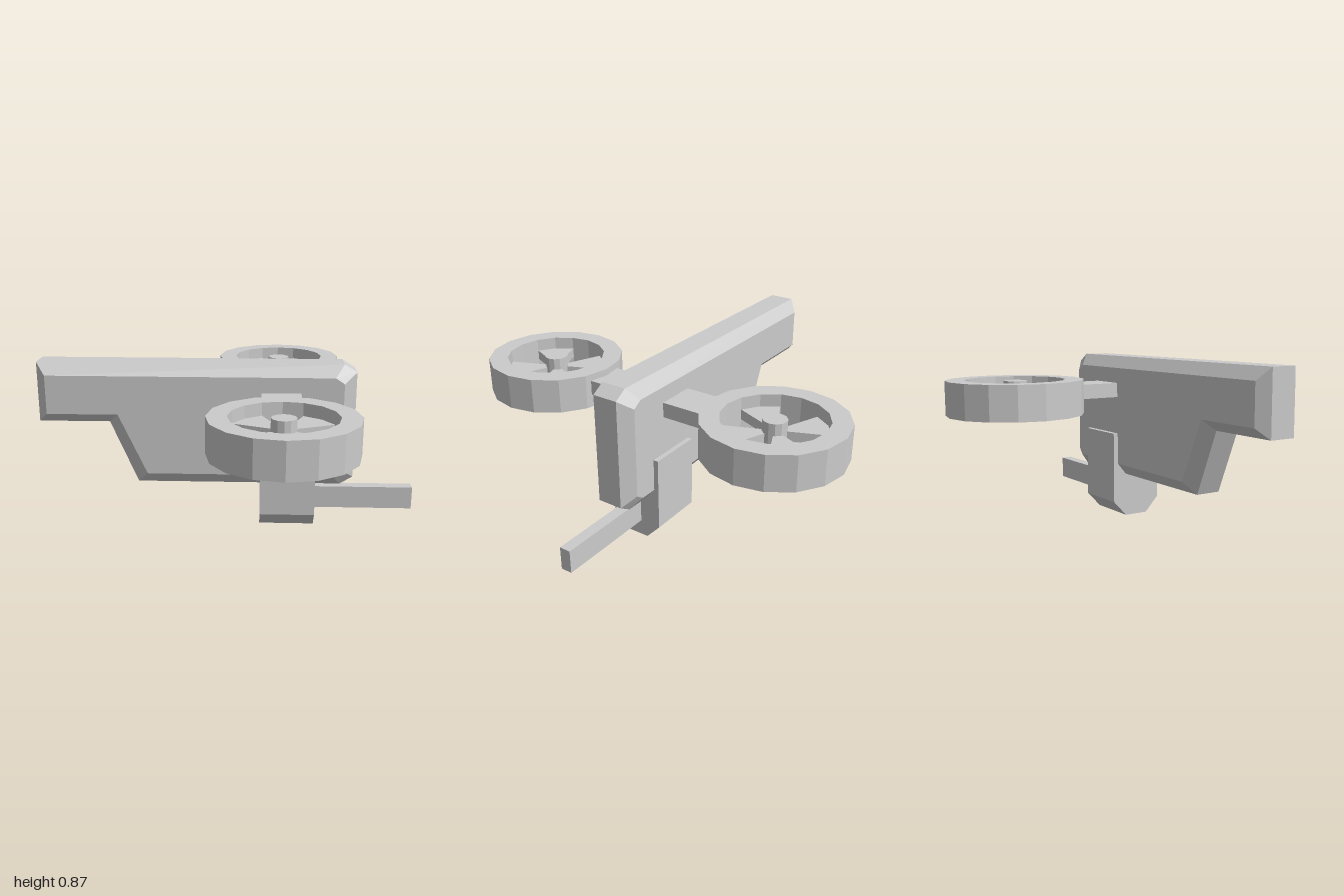
import * as THREE from 'three';

const material = new THREE.MeshStandardMaterial({ color: 0xcccccc, flatShading: true });

function part(name, geometry, x = 0, y = 0, z = 0) {
  const mesh = new THREE.Mesh(geometry, material);
  mesh.name = name;
  mesh.position.set(x, y, z);
  return mesh;
}

const toPoints = (list) => list.map(([x, y]) => new THREE.Vector2(x, y));

// Bevelled slab: wide outline around the middle, smaller outline on both side faces
function hullGeometry() {
  const outer = toPoints([[-0.975, 0.555], [-0.61, 0.555], [-0.47, 0.23], [0.585, 0.23],
    [0.65, 0.27], [0.65, 0.825], [0.585, 0.865], [-0.975, 0.865]]);
  const inner = toPoints([[-0.925, 0.605], [-0.56, 0.605], [-0.415, 0.29], [0.54, 0.29],
    [0.585, 0.32], [0.585, 0.775], [0.54, 0.805], [-0.925, 0.805]]);
  const loops = [[inner, -0.115], [outer, -0.065], [outer, 0.065], [inner, 0.115]];
  const n = outer.length;
  const positions = loops.flatMap(([pts, z]) => pts.flatMap((p) => [p.x, p.y, z]));
  const index = [];
  for (let k = 0; k < 3; k++) {
    for (let i = 0; i < n; i++) {
      const a = k * n + i, b = k * n + (i + 1) % n;
      index.push(a, b, b + n, a, b + n, a + n);
    }
  }
  for (const [a, b, c] of THREE.ShapeUtils.triangulateShape(inner, [])) {
    index.push(a + 3 * n, b + 3 * n, c + 3 * n, c, b, a);
  }
  const geometry = new THREE.BufferGeometry();
  geometry.setAttribute('position', new THREE.Float32BufferAttribute(positions, 3));
  geometry.setIndex(index);
  const flat = geometry.toNonIndexed();
  flat.computeVertexNormals();
  return flat;
}

// Extrudes a plan shape upwards, centred on y = 0
function slab(shape, height) {
  return new THREE.ExtrudeGeometry(shape, { depth: height, bevelEnabled: false })
    .translate(0, 0, -height / 2).rotateX(-Math.PI / 2);
}

function polygon(radius, sides) {
  return Array.from({ length: sides }, (_, i) => {
    const a = (i / sides) * Math.PI * 2;
    return new THREE.Vector2(Math.cos(a) * radius, Math.sin(a) * radius);
  });
}

// Ducted rotor: 16-sided ring, hub and four wedge blades
function createRotor(name) {
  const rotor = new THREE.Group();
  rotor.name = name;
  const ring = new THREE.Shape(polygon(0.345, 16));
  ring.holes.push(new THREE.Path(polygon(0.25, 16)));
  rotor.add(part('rotorRing', slab(ring, 0.175)));
  rotor.add(part('rotorHub', new THREE.CylinderGeometry(0.058, 0.058, 0.165, 12)));

  const at = (r, deg) => new THREE.Vector2(r, 0).rotateAround(new THREE.Vector2(), THREE.MathUtils.degToRad(deg));
  const blade = new THREE.Shape([at(0.04, 22.5), at(0.255, 22.5), at(0.255, 45), at(0.255, 67.5), at(0.04, 67.5)]);
  for (let i = 0; i < 4; i++) {
    const mesh = part('rotorBlade', slab(blade, 0.05));
    mesh.rotation.y = i * Math.PI / 2;
    rotor.add(mesh);
  }
  return rotor;
}

export function createModel() {
  const model = new THREE.Group();
  model.name = 'flyer';
  model.add(part('hull', hullGeometry()));

  // Arms and rotors on both sides
  for (const side of [1, -1]) {
    const label = side > 0 ? 'front' : 'back';
    model.add(part(label + 'Arm', new THREE.BoxGeometry(0.2, 0.075, 0.24), 0.27, 0.688, side * 0.21));
    const rotor = createRotor(label + 'Rotor');
    rotor.position.set(0.27, 0.6725, side * 0.655);
    model.add(rotor);
  }

  // Gun housing with chamfered lower edges
  const section = new THREE.Shape(toPoints([[-0.065, 0], [0.065, 0], [0.14, 0.08],
    [0.14, 0.455], [-0.14, 0.455], [-0.14, 0.08]]));
  const housing = new THREE.ExtrudeGeometry(section, { depth: 0.285, bevelEnabled: false }).rotateY(Math.PI / 2);
  model.add(part('gunHousing', housing, 0.168, 0, 0));
  model.add(part('gunBarrel', new THREE.BoxGeometry(0.56, 0.118, 0.058), 0.692, 0.14, 0));
  return model;
}
